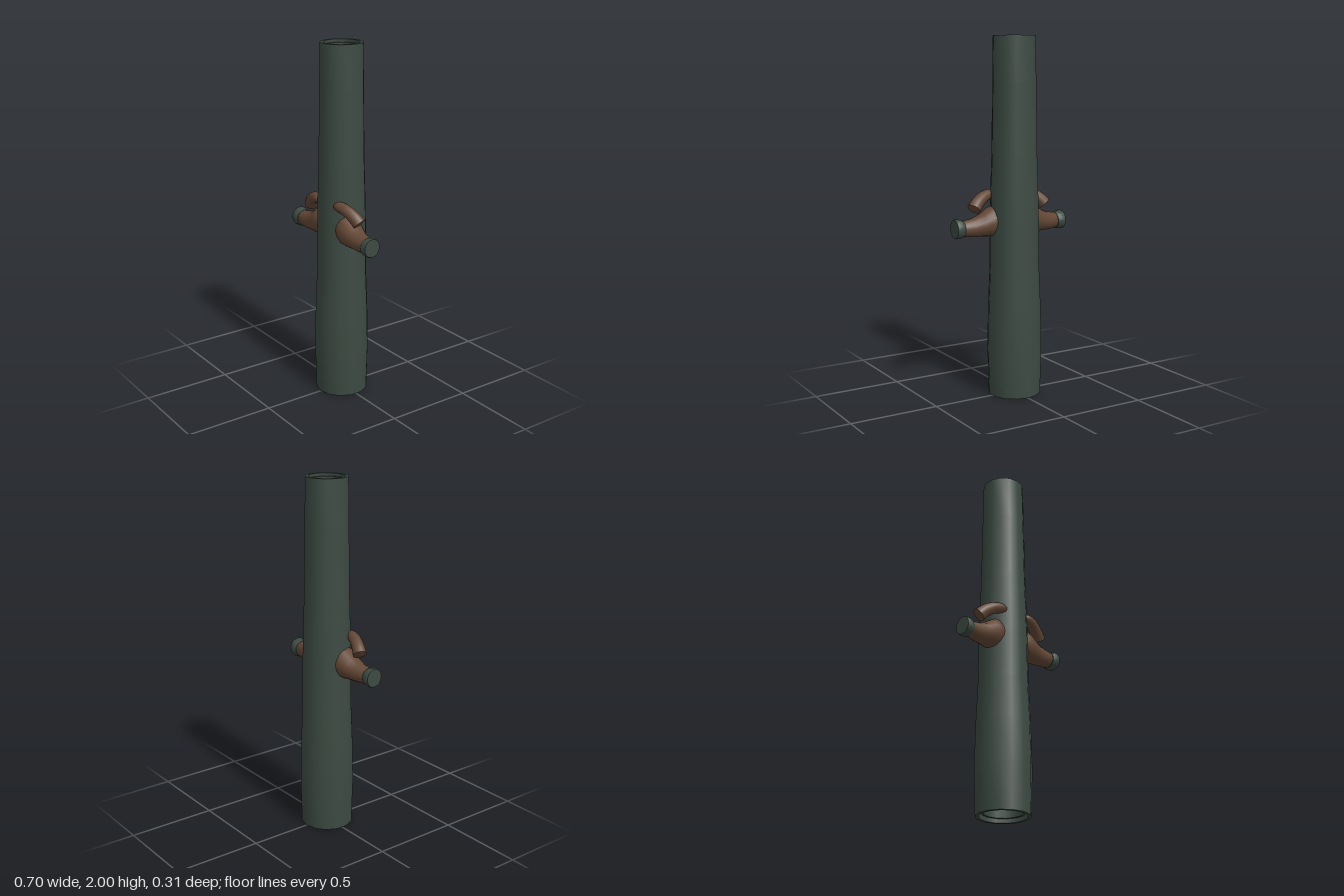
import * as THREE from 'three';
import { toCreasedNormals } from 'three/addons/utils/BufferGeometryUtils.js';

const green = new THREE.MeshStandardMaterial({ color: 0x3c4a42 });
const brown = new THREE.MeshStandardMaterial({ color: 0x634735 });

function part(name, geometry, material, crease = 0.75) {
  const mesh = new THREE.Mesh(toCreasedNormals(geometry, crease), material);
  mesh.name = name;
  return mesh;
}

// Hollow tube: outer profile upwards, inner profile back down, closed at both rims
function hollowTube(profile, wall, sides) {
  const outer = profile.map(([r, y]) => new THREE.Vector2(r, y));
  const inner = profile.map(([r, y]) => new THREE.Vector2(r - wall, y)).reverse();
  return new THREE.LatheGeometry([...outer, ...inner, outer[0].clone()], sides);
}

// Skin over elliptical sections [x, centreY, centreZ, radiusY, radiusZ] along +x
function loftAlongX(sections, sides) {
  const pos = [], index = [];
  for (const [x, y, z, ry, rz] of sections) {
    for (let j = 0; j < sides; j++) {
      const t = (j / sides) * Math.PI * 2;
      pos.push(x, y + ry * Math.cos(t), z + rz * Math.sin(t));
    }
  }
  const last = sections.length - 1;
  for (const s of [sections[0], sections[last]]) pos.push(s[0], s[1], s[2]);
  const centre = sections.length * sides;
  for (let j = 0; j < sides; j++) {
    const k = (j + 1) % sides;
    for (let i = 0; i < last; i++) {
      const a = i * sides + j, b = i * sides + k;
      index.push(a, b, a + sides, b, b + sides, a + sides);
    }
    index.push(centre, k, j, centre + 1, last * sides + j, last * sides + k);
  }
  const g = new THREE.BufferGeometry();
  g.setAttribute('position', new THREE.Float32BufferAttribute(pos, 3));
  g.setIndex(index);
  return g;
}

// Tube whose radius follows radiusAt(0..1); zero radius closes an end
function taperedTube(points, radiusAt, segments, sides) {
  const curve = new THREE.CatmullRomCurve3(points.map(p => new THREE.Vector3(...p)));
  const g = new THREE.TubeGeometry(curve, segments, 1, sides);
  const pos = g.attributes.position, v = new THREE.Vector3();
  for (let i = 0; i <= segments; i++) {
    const c = curve.getPointAt(i / segments), r = radiusAt(i / segments);
    for (let j = 0; j <= sides; j++) {
      const n = i * (sides + 1) + j;
      v.fromBufferAttribute(pos, n).sub(c).multiplyScalar(r).add(c);
      pos.setXYZ(n, v.x, v.y, v.z);
    }
  }
  return g;
}

function createHand(name) {
  const hand = new THREE.Group();
  hand.name = name;

  // Palm narrowing to the wrist
  hand.add(part('palm', loftAlongX([
    [0.075, 0.995, 0.03, 0.07, 0.07],
    [0.11, 0.993, 0.033, 0.087, 0.077],
    [0.145, 0.985, 0.035, 0.08, 0.074],
    [0.19, 0.97, 0.039, 0.062, 0.063],
    [0.24, 0.96, 0.044, 0.052, 0.052],
    [0.31, 0.957, 0.051, 0.043, 0.041],
  ], 16), brown));

  // Flared cuff
  hand.add(part('cuff', loftAlongX([
    [0.302, 0.957, 0.051, 0.046, 0.046],
    [0.31, 0.957, 0.051, 0.05, 0.05],
    [0.34, 0.959, 0.051, 0.055, 0.053],
    [0.35, 0.959, 0.051, 0.051, 0.049],
  ], 16), green));

  // Thumb lying against the tube, with a blunt base and a rounded tip
  const thumbRadius = t => {
    if (t === 0 || t === 1) return 0;
    const tip = Math.sqrt(Math.max(0, 1 - Math.pow(Math.max(0, (t - 0.75) / 0.25), 2)));
    return (0.039 - 0.012 * t) * tip;
  };
  hand.add(part('thumb', taperedTube([
    [0.235, 1.055, 0.045], [0.2, 1.092, 0.06],
    [0.15, 1.122, 0.077], [0.105, 1.132, 0.088], [0.068, 1.13, 0.1],
  ], thumbRadius, 24, 14), brown));

  // Four fingers curled round inside the tube
  for (let i = 0; i < 4; i++) {
    const arc = [];
    for (let k = 0; k <= 8; k++) {
      const a = -Math.PI / 2 + (k / 8) * Math.PI;
      arc.push([0.068 * Math.cos(a), 0.93 + i * 0.042, 0.083 * Math.sin(a)]);
    }
    const radius = t => (t === 0 || t === 1 ? 0 : 0.028);
    hand.add(part('finger', taperedTube(arc, radius, 16, 8), brown));
  }
  return hand;
}

export function createModel() {
  const model = new THREE.Group();
  model.name = 'handsHoldingTube';

  // Outer tube, widest near its lower quarter
  const outer = hollowTube([
    [0.147, 0], [0.154, 0.26], [0.149, 0.5], [0.139, 0.74], [0.137, 1.0],
    [0.132, 1.2], [0.127, 1.35], [0.121, 1.75], [0.117, 2],
  ], 0.018, 14);
  model.add(part('outerTube', outer, green));

  // Thin liner inside the tube
  const liner = hollowTube([[0.118, 0.02], [0.112, 0.6], [0.1, 1.2], [0.09, 1.985]], 0.014, 14);
  model.add(part('innerTube', liner, green));

  const left = createHand('leftHand');
  const right = createHand('rightHand');
  right.scale.x = -1;
  model.add(left, right);
  return model;
}
